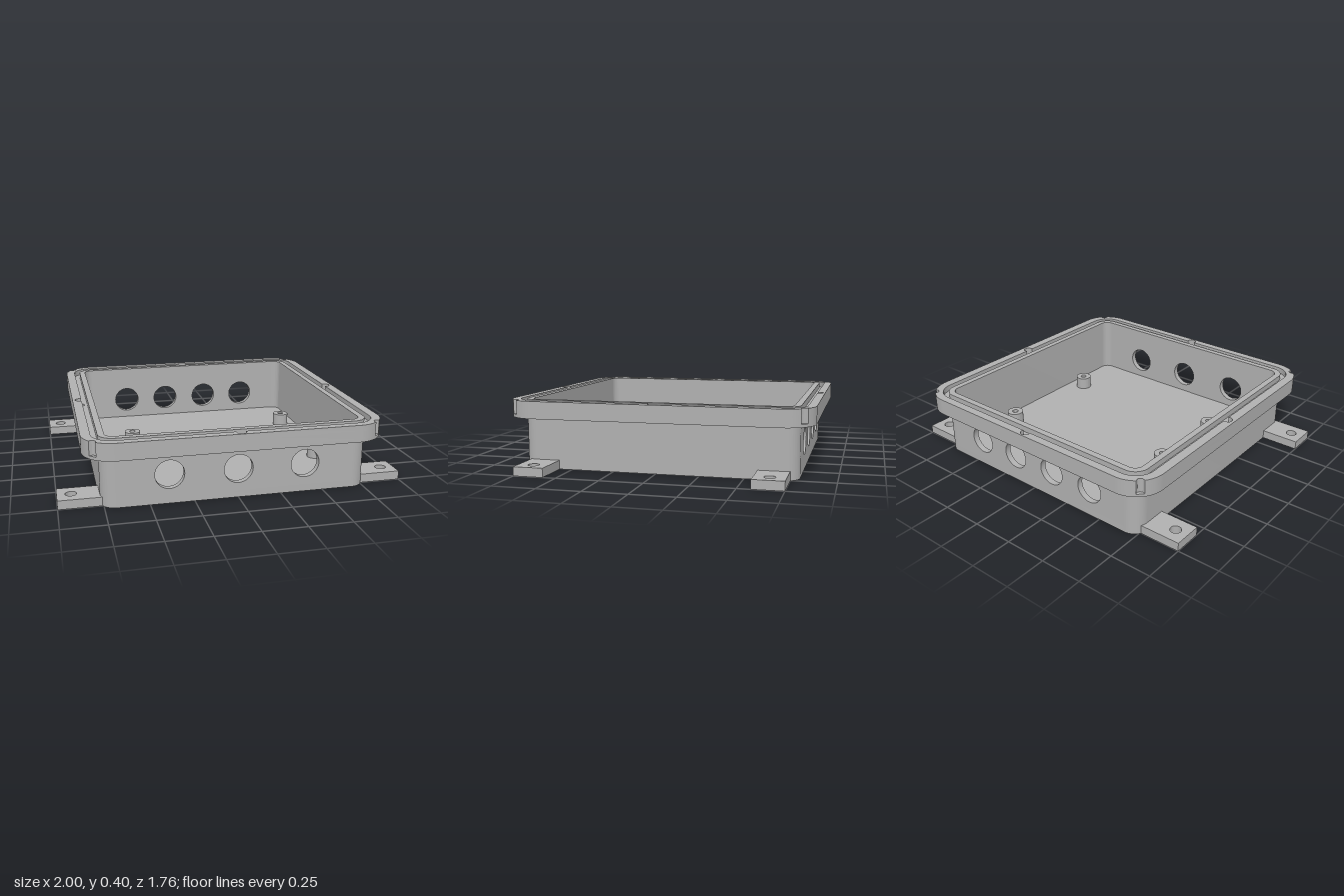
import * as THREE from 'three';
import { toCreasedNormals } from 'three/addons/utils/BufferGeometryUtils.js';

const BODY = [0.767, 0.797, 0.087];    // half width, half depth, corner radius
const FLANGE = [0.858, 0.88, 0.18];
const GROOVE = [0.803, 0.832, 0.122];

// Rounded rectangle; optional corner notches and round pockets at mid sides
function outline([hx, hz, r], { notch = 0, pocket = 0 } = {}) {
  const pts = [], q = Math.PI / 2, n = 36;
  const signs = [[1, 1], [-1, 1], [-1, -1], [1, -1]];
  signs.forEach(([sx, sy], k) => {
    const cx = sx * (hx - r), cy = sy * (hz - r);
    for (let i = 0; i <= n; i++) {
      const a = i / n * q, u = (a - q / 2) / 0.13;
      const rr = r - notch * Math.sqrt(Math.max(0, 1 - u * u));
      pts.push(new THREE.Vector2(cx + rr * Math.cos(k * q + a), cy + rr * Math.sin(k * q + a)));
    }
    if (pocket) {
      const e = 0.01, phi = Math.asin(e / pocket), nrm = (k + 1) * q;
      const d = (k % 2 ? hx : hz) + e;
      const px = Math.cos(nrm) * d, py = Math.sin(nrm) * d;
      for (let i = 0; i <= 20; i++) {
        const t = k * q - phi + i / 20 * (Math.PI + 2 * phi);
        pts.push(new THREE.Vector2(px + pocket * Math.cos(t), py + pocket * Math.sin(t)));
      }
    }
  });
  return pts;
}

function circle(x, y, r) {
  return new THREE.Path().absarc(x, y, r, 0, Math.PI * 2, true);
}

function extrude(shape, depth) {
  return new THREE.ExtrudeGeometry(shape, { depth, bevelEnabled: false, curveSegments: 24 });
}

// Extrude a plan shape upward from y0 to y1
function slab(shape, y0, y1) {
  return extrude(shape, y1 - y0).rotateX(-Math.PI / 2).translate(0, y0, 0);
}

export function createModel() {
  const group = new THREE.Group();
  group.name = 'enclosureBase';
  const grey = new THREE.MeshStandardMaterial({ color: 0xb0b0b0 });
  grey.name = 'grey';
  const add = (name, geo) => {
    const mesh = new THREE.Mesh(toCreasedNormals(geo, 0.5), grey);
    mesh.name = name;
    group.add(mesh);
    return mesh;
  };

  // Floor
  add('floor', slab(new THREE.Shape(outline(BODY)), 0, 0.04));

  // Side walls with the rounded corners
  const q = Math.PI / 2;
  const side = new THREE.Shape();
  side.moveTo(0.68, -0.797);
  side.absarc(0.68, -0.71, 0.087, -q, 0, false);
  side.absarc(0.68, 0.71, 0.087, 0, q, false);
  side.lineTo(0.68, 0.76);
  side.absarc(0.68, 0.71, 0.05, q, 0, true);
  side.absarc(0.68, -0.71, 0.05, 0, -q, true);
  side.closePath();
  add('leftWall', slab(side, 0.04, 0.4));
  add('rightWall', slab(side, 0.04, 0.4).rotateY(Math.PI));

  // Front and back walls with cable holes
  const panel = (holes) => {
    const s = new THREE.Shape([[-0.68, 0.04], [0.68, 0.04], [0.68, 0.4], [-0.68, 0.4]]
      .map(([x, y]) => new THREE.Vector2(x, y)));
    holes.forEach((x) => s.holes.push(circle(x, 0.17, 0.083)));
    return extrude(s, 0.037);
  };
  add('frontWall', panel([-0.39, 0, 0.39]).translate(0, 0, 0.76));
  add('backWall', panel([-0.43, -0.145, 0.145, 0.43]).translate(0, 0, -0.797));

  // Flange in three layers: plain base, pocketed middle, lip around the seal groove
  const ring = (outer, inner) => {
    const s = new THREE.Shape(outer);
    s.holes.push(new THREE.Path(inner));
    return s;
  };
  const notched = () => outline(FLANGE, { notch: 0.022 });
  add('flangeBase', slab(ring(outline(FLANGE), outline(BODY)), 0.3, 0.318));
  const middle = ring(notched(), outline(BODY));
  [[0.813, 0], [-0.813, 0], [0, 0.842], [0, -0.842]]
    .forEach(([x, z]) => middle.holes.push(circle(x, z, 0.028)));
  add('flangeMiddle', slab(middle, 0.318, 0.365));
  add('flangeLip', slab(ring(notched(), outline(GROOVE, { pocket: 0.028 })), 0.365, 0.4));

  // Mounting tabs
  for (const sx of [-1, 1]) {
    for (const sz of [-1, 1]) {
      const tab = new THREE.Shape([[-0.125, -0.088], [0.125, -0.088], [0.125, 0.088], [-0.125, 0.088]]
        .map(([x, y]) => new THREE.Vector2(x, y)));
      tab.holes.push(circle(sx * 0.047, 0, 0.032));
      add('mountingTab', slab(tab, 0, 0.052)).position.set(sx * 0.875, 0, sz * 0.663);
    }
  }

  // Board standoffs with screw holes
  for (const [x, z] of [[-0.47, -0.16], [-0.47, 0.36], [0.62, 0.36], [0.62, -0.34]]) {
    const post = new THREE.Shape().absarc(0, 0, 0.051, 0, Math.PI * 2, false);
    post.holes.push(circle(0, 0, 0.019));
    add('standoff', slab(post, 0.04, 0.118)).position.set(x, 0, z);
  }
  return group;
}
